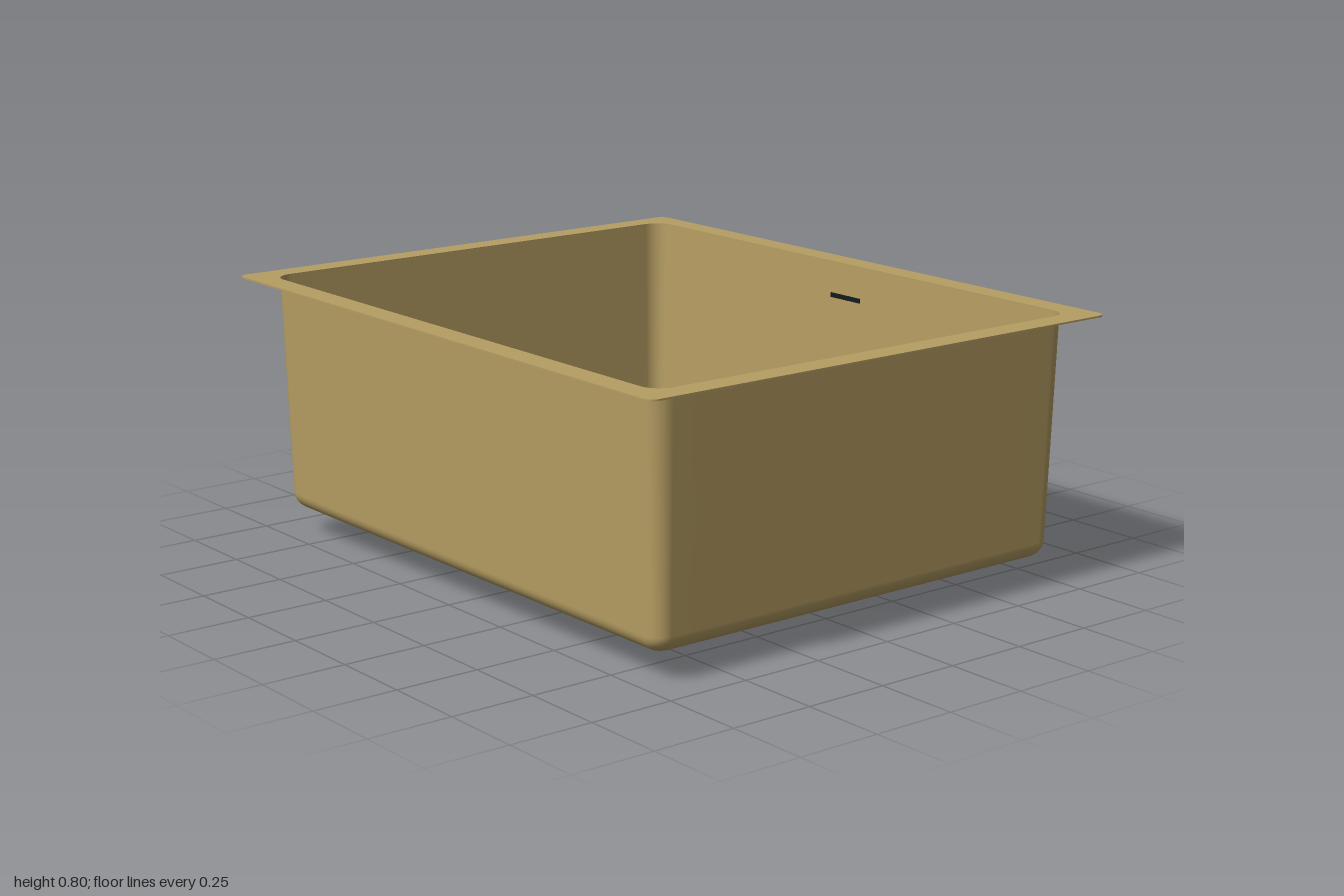
import * as THREE from 'three';

const brass = new THREE.MeshStandardMaterial({ color: 0xb69e63, side: THREE.DoubleSide });
brass.name = 'brushed brass';
const dark = new THREE.MeshStandardMaterial({ color: 0x141a1c, side: THREE.DoubleSide });
dark.name = 'dark opening';

const RIM_Y = 0.793, DRAIN_Z = -0.265, DRAIN_R = 0.185;

function add(parent, name, geometry, material, x = 0, y = 0, z = 0) {
  const mesh = new THREE.Mesh(geometry, material);
  mesh.name = name;
  mesh.position.set(x, y, z);
  parent.add(mesh);
  return mesh;
}

// Rounded rectangle as [x, z] points, with subdivided sides
function roundedLoop(hx, hz, r, arc = 8, side = 14) {
  const corners = [[1, 1], [-1, 1], [-1, -1], [1, -1]];
  const points = [];
  corners.forEach(([sx, sz], c) => {
    for (let i = 0; i <= arc; i++) {
      const a = (c + i / arc) * Math.PI / 2;
      points.push([sx * (hx - r) + r * Math.cos(a), sz * (hz - r) + r * Math.sin(a)]);
    }
    const [nx, nz] = corners[(c + 1) % 4];
    const a = (c + 1) * Math.PI / 2, ox = r * Math.cos(a), oz = r * Math.sin(a);
    for (let i = 1; i < side; i++) {
      const t = i / side;
      points.push([
        THREE.MathUtils.lerp(sx, nx, t) * (hx - r) + ox,
        THREE.MathUtils.lerp(sz, nz, t) * (hz - r) + oz,
      ]);
    }
  });
  return points;
}

// Skin a list of closed loops of [x, y, z] points
function loft(loops) {
  const n = loops[0].length, index = [];
  for (let k = 0; k < loops.length - 1; k++) {
    for (let i = 0; i < n; i++) {
      const a = k * n + i, b = k * n + (i + 1) % n;
      index.push(a, b, a + n, b, b + n, a + n);
    }
  }
  const geometry = new THREE.BufferGeometry();
  geometry.setAttribute('position', new THREE.Float32BufferAttribute(loops.flat(2), 3));
  geometry.setIndex(index);
  geometry.computeVertexNormals();
  return geometry;
}

function bowlGeometry() {
  // Tapered walls, then the rounded lower edge
  const profile = [[0, RIM_Y], [0.009, 0.46], [0.018, 0.13]];
  for (let i = 1; i <= 8; i++) {
    const a = i / 8 * Math.PI / 2;
    profile.push([0.068 - 0.05 * Math.cos(a), 0.13 - 0.05 * Math.sin(a)]);
  }
  const loops = profile.map(([inset, y]) =>
    roundedLoop(0.925 - inset, 0.74 - inset, 0.06 - inset * 0.6).map(([x, z]) => [x, y, z]));

  // Floor falling gently towards the round drain hole
  const edge = loops[loops.length - 1];
  for (let k = 1; k <= 8; k++) {
    const t = k / 8;
    loops.push(edge.map(([x, , z]) => {
      const dz = z - DRAIN_Z, s = DRAIN_R / Math.hypot(x, dz);
      return [
        THREE.MathUtils.lerp(x, x * s, t),
        0.08 - 0.024 * t * t,
        THREE.MathUtils.lerp(z, DRAIN_Z + dz * s, t),
      ];
    }));
  }
  return loft(loops);
}

function rimGeometry() {
  const toVec = ([x, z]) => new THREE.Vector2(x, z);
  const shape = new THREE.Shape(roundedLoop(1, 0.815, 0.03).map(toVec));
  shape.holes.push(new THREE.Path(roundedLoop(0.925, 0.74, 0.06).map(toVec)));
  const geometry = new THREE.ExtrudeGeometry(shape, { depth: 0.005, bevelEnabled: false });
  return geometry.rotateX(-Math.PI / 2);
}

const lathe = (points) =>
  new THREE.LatheGeometry(points.map(([x, y]) => new THREE.Vector2(x, y)), 48);

export function createModel() {
  const sink = new THREE.Group();
  sink.name = 'sink';
  add(sink, 'rim', rimGeometry(), brass, 0, RIM_Y - 0.003, 0);
  add(sink, 'bowl', bowlGeometry(), brass);

  // Overflow slot on the inner back wall
  add(sink, 'overflowSlot', new THREE.BoxGeometry(0.13, 0.014, 0.004), dark, 0, 0.69, -0.734);

  const drain = new THREE.Group();
  drain.name = 'drain';
  drain.position.z = DRAIN_Z;
  sink.add(drain);

  // Flared collar and outlet neck
  add(drain, 'drainCollar', lathe([
    [0.135, 0.03], [0.139, 0.037], [0.145, 0.046], [0.155, 0.052], [DRAIN_R, 0.056],
  ]), brass);
  add(drain, 'outletNeck', lathe([[0.135, 0], [0.135, 0.03]]), brass);
  add(drain, 'outletOpening', new THREE.CircleGeometry(0.134, 48).rotateX(Math.PI / 2), dark, 0, 0.001, 0);

  // Strainer with radial slots and a centre knob
  add(drain, 'strainer', lathe([
    [0.135, 0.022], [0.128, 0.029], [0.12, 0.031], [0, 0.031],
  ].reverse()), brass);
  add(drain, 'strainerKnob', new THREE.CylinderGeometry(0.025, 0.025, 0.012, 24), brass, 0, 0.036, 0);
  const slots = new THREE.Group();
  slots.name = 'strainerSlots';
  drain.add(slots);
  const slot = new THREE.BoxGeometry(0.04, 0.004, 0.009);
  for (let i = 0; i < 24; i++) {
    const a = i / 24 * Math.PI * 2;
    add(slots, 'strainerSlot', slot, dark, 0.095 * Math.cos(a), 0.031, 0.095 * Math.sin(a)).rotation.y = -a;
  }
  return sink;
}
